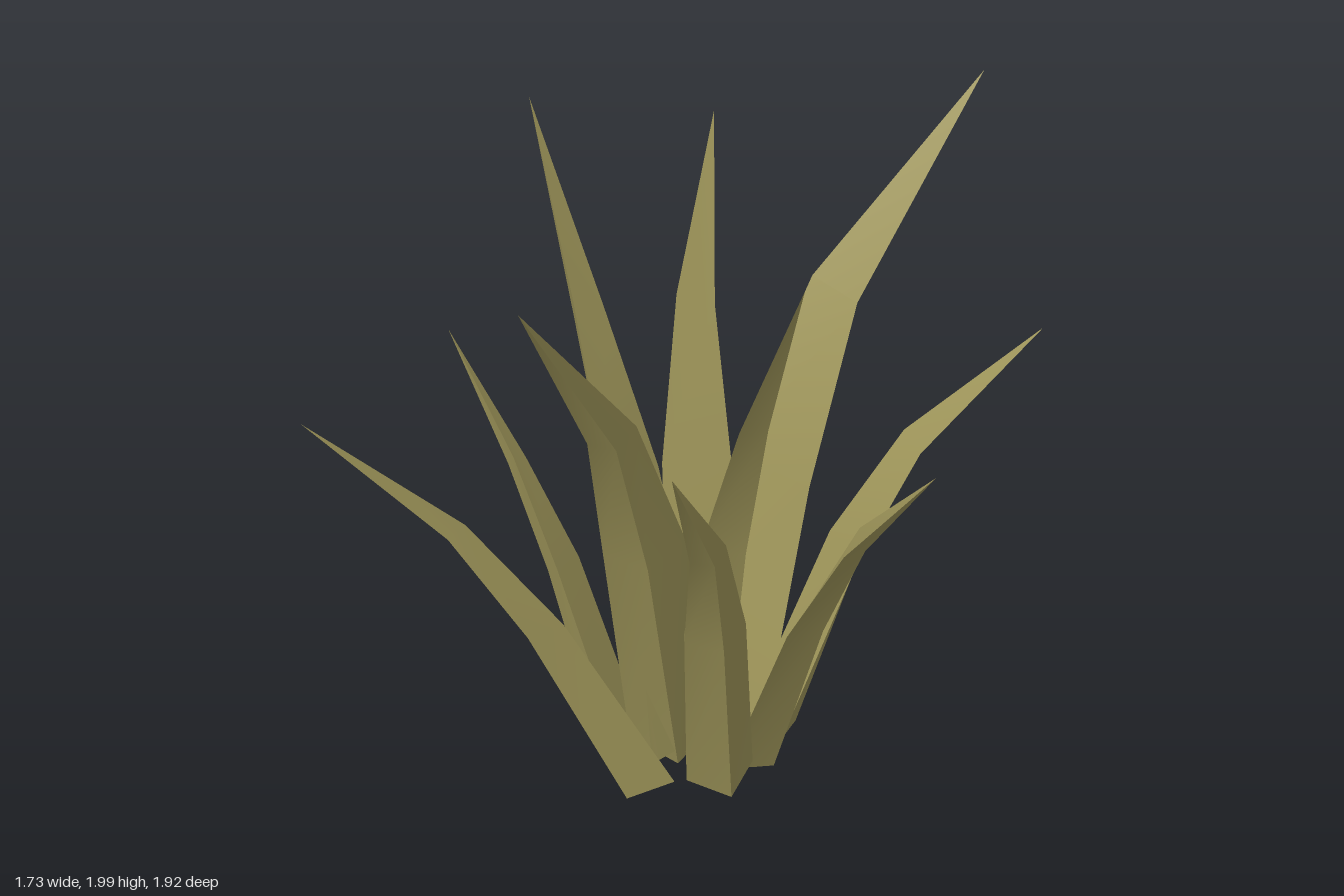
import * as THREE from 'three';

// One blade per row: base x, y, z (middle of the inner face), tip x, y, z, half width
const BLADES = [
  [-0.02, 0.10, -0.02, -0.36, 1.68, -0.96, 0.13],
  [-0.01, 0.10, 0.12, -0.76, 1.80, -0.49, 0.145],
  [-0.175, 0.115, 0.16, -0.87, 1.18, -0.13, 0.10],
  [-0.03, 0.115, 0.32, -0.84, 1.23, 0.75, 0.11],
  [-0.08, 0.10, 0.06, -0.09, 1.71, 0.96, 0.13],
  [0.13, 0.10, 0.22, 0.29, 1.34, 0.94, 0.10],
  [0.15, 0.11, 0.09, 0.81, 1.25, 0.50, 0.105],
  [-0.03, 0.10, 0.05, 0.46, 1.69, 0.50, 0.125],
  [0.16, 0.11, -0.09, 0.86, 1.36, -0.33, 0.10],
  [0.03, 0.04, 0.005, 0.60, 2.00, -0.55, 0.16],
];
// Per cross-section: share of the way to the tip, arch, sideways drift, width, depth
const ALONG = [0, 0.405, 0.665, 1];
const ARCH = [0, 0.071, 0.077, 0];
const DRIFT = [0, 0.014, 0.021, 0];
const WIDTHS = [1, 0.88, 0.52, 0];
const DEPTHS = [1, 0.68, 0.4, 0];
const TWIST = Math.PI * 0.15;

// Keeled blade: flat inner face, ridge on the outside, arching outward to a point
function bladeGeometry([bx, by, bz, tx, ty, tz, half]) {
  const base = new THREE.Vector3(bx, by, bz);
  const chord = new THREE.Vector3(tx, ty, tz).sub(base);
  const length = chord.length();
  const out = new THREE.Vector3(chord.x, 0, chord.z).normalize();
  const side = new THREE.Vector3(out.z, 0, -out.x);
  const arch = chord.clone().cross(side).normalize();
  if (arch.y < 0) arch.negate();
  const facing = out.clone().multiplyScalar(Math.cos(TWIST)).addScaledVector(side, Math.sin(TWIST));

  const centres = ALONG.map((u, i) => base.clone()
    .addScaledVector(chord, u)
    .addScaledVector(arch, ARCH[i] * length)
    .addScaledVector(side, DRIFT[i] * length));

  // Three corners of each cross-section: right, left, keel
  const rings = centres.map((c, i) => {
    const tangent = centres[Math.min(i + 1, 3)].clone().sub(centres[Math.max(i - 1, 0)]).normalize();
    const keel = facing.clone().addScaledVector(tangent, -facing.dot(tangent)).normalize();
    const across = tangent.clone().cross(keel);
    return [
      c.clone().addScaledVector(across, half * WIDTHS[i]),
      c.clone().addScaledVector(across, -half * WIDTHS[i]),
      c.clone().addScaledVector(keel, half * DEPTHS[i]),
    ];
  });

  // Each side is its own strip: smooth along the blade, sharp across the edges
  const points = [], index = [];
  for (let s = 0; s < 3; s++) {
    const start = points.length;
    rings.forEach((ring) => points.push(ring[s], ring[(s + 1) % 3]));
    for (let i = 0; i < 3; i++) {
      const a = start + i * 2;
      index.push(a, a + 1, a + 3);
      if (i < 2) index.push(a, a + 3, a + 2);
    }
  }
  // Base cap
  const cap = points.length;
  points.push(rings[0][0], rings[0][2], rings[0][1]);
  index.push(cap, cap + 1, cap + 2);

  const geometry = new THREE.BufferGeometry().setFromPoints(points);
  geometry.setIndex(index);
  geometry.computeVertexNormals();
  return geometry;
}

export function createModel() {
  const group = new THREE.Group();
  group.name = 'spikyPlant';
  const leafGreen = new THREE.MeshStandardMaterial({ color: 0x9f965a });
  leafGreen.name = 'olive leaf';
  BLADES.forEach((blade, i) => {
    const mesh = new THREE.Mesh(bladeGeometry(blade), leafGreen);
    mesh.name = `leaf${i + 1}`;
    group.add(mesh);
  });
  return group;
}
